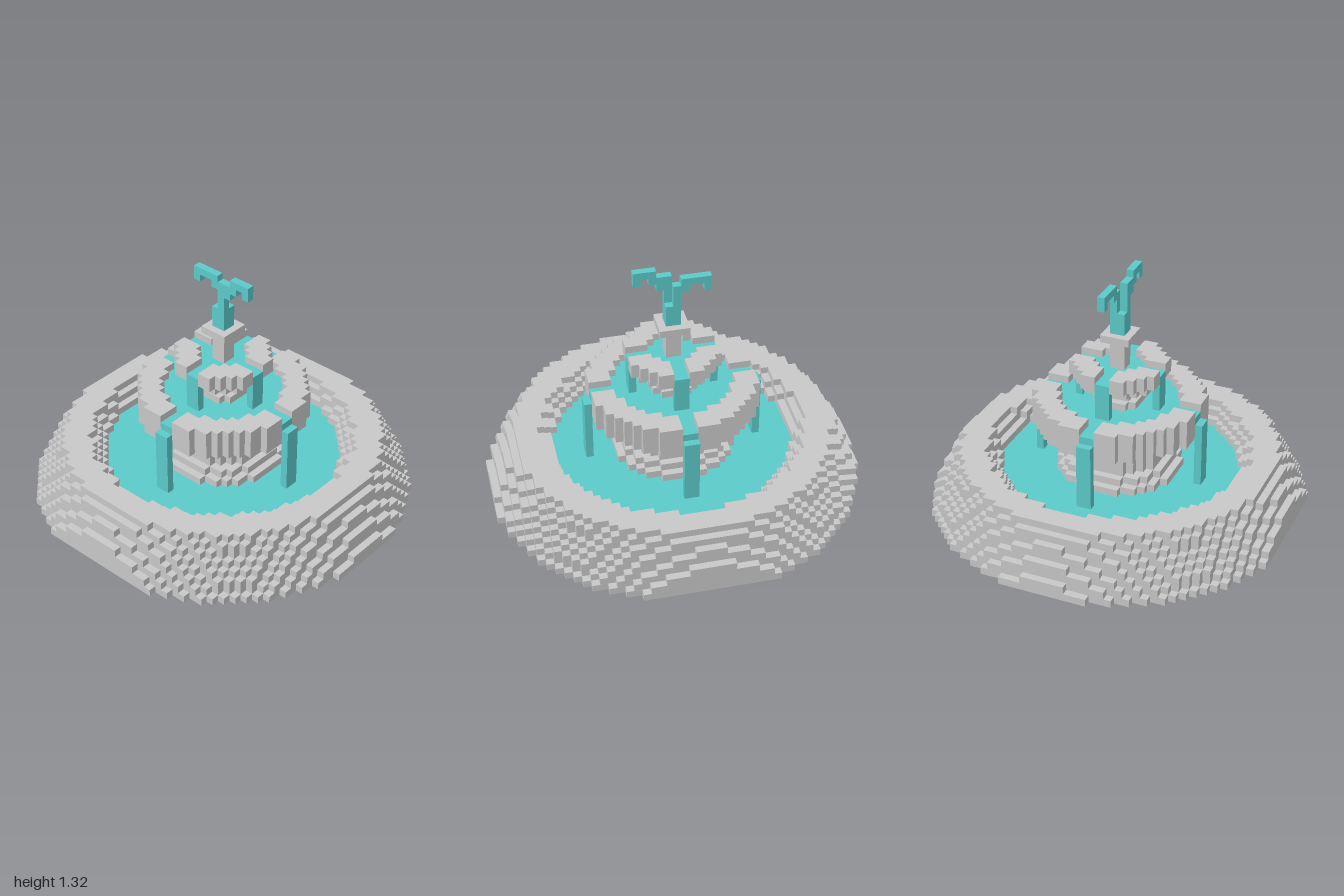
import * as THREE from 'three';

const U = 0.04; // edge length of one block
const N = 25;   // half width of the block grid

export function createModel() {
  const stone = new THREE.MeshStandardMaterial({ color: 0xc8c8c8 });
  stone.name = 'stone';
  const water = new THREE.MeshStandardMaterial({ color: 0x5ccaca });
  water.name = 'water';

  const cells = new Map(); // "i,j,k" -> part name
  const key = (i, j, k) => `${i},${j},${k}`;

  // Fill layers j0..j1 wherever test(x, z) holds at block centres; a null part carves.
  function fill(part, j0, j1, test) {
    for (let j = j0; j <= j1; j++)
      for (let i = -N; i < N; i++)
        for (let k = -N; k < N; k++)
          if (test(i + 0.5, k + 0.5)) {
            if (part) cells.set(key(i, j, k), part);
            else cells.delete(key(i, j, k));
          }
  }
  const disc = (r) => (x, z) => x * x + z * z < r * r;
  const square = (h) => (x, z) => Math.abs(x) < h && Math.abs(z) < h;
  const box = (part, i0, i1, j0, j1, k) =>
    fill(part, j0, j1, (x, z) => x > i0 && x < i1 && z > k && z < k + 1);
  // Four arms, two blocks wide, between distances a and b along the axes
  const arms = (a, b) => (x, z) => {
    const u = Math.max(Math.abs(x), Math.abs(z)), v = Math.min(Math.abs(x), Math.abs(z));
    return v < 1 && u > a && u < b;
  };

  // Sloping outer wall, slightly cropped at front and back
  for (let j = 0; j < 8; j++) {
    const r = Math.sqrt(636 - 25 * j);
    fill('poolWall', j, j, (x, z) => disc(r)(x, z) && Math.abs(z) < 24);
  }
  // Pool hollow with stepped inner wall
  [264, 288, 313].forEach((r2, n) => fill(null, 5 + n, 5 + n, disc(Math.sqrt(r2))));
  fill('poolWater', 4, 4, disc(Math.sqrt(264)));

  // Waisted pedestal
  [8.2, 7.2, 6.2, 6.2, 6.2, 7.2, 8.2].forEach((r, n) => fill('pedestal', 5 + n, 5 + n, disc(r)));

  // Middle basin with four spouts
  fill('middleBasin', 12, 15, disc(11.2));
  fill(null, 15, 15, disc(8.2));
  fill(null, 15, 15, arms(0, 12));
  fill('middleWater', 14, 14, disc(8.2));
  fill('middleWater', 14, 14, arms(8, 11));
  fill('lowerFalls', 5, 13, arms(11, 12));

  // Upper basin on its small stem
  [3.2, 2.2, 3.2, 5.2].forEach((r, n) => fill('upperStem', 15 + n, 15 + n, disc(r)));
  fill('upperBasin', 19, 20, disc(6.2));
  fill(null, 20, 20, disc(3.2));
  fill(null, 20, 20, arms(0, 6));
  fill('upperWater', 19, 19, disc(3.2));
  fill('upperWater', 19, 19, arms(3, 6));
  fill('upperFalls', 15, 18, arms(5, 6));

  // Pillar and cap
  fill('pillar', 20, 23, square(1));
  fill('pillarCap', 24, 24, square(2));

  // Water jet splitting into two curling arms
  fill('jet', 25, 27, square(1));
  box('jet', -1, 0, 28, 30, -1);
  box('jet', -2, 0, 30, 30, -1);
  box('jet', -5, -1, 31, 31, -1);
  box('jet', -5, -4, 30, 30, -1);
  box('jet', 0, 1, 28, 31, 0);
  box('jet', 0, 2, 30, 30, 0);
  box('jet', 0, 3, 31, 31, 0);
  box('jet', 2, 5, 32, 32, 0);
  box('jet', 4, 5, 31, 31, 0);

  // Emit only the exposed block faces, one mesh per part
  const parts = {};
  for (const [id, part] of cells) {
    const c = id.split(',').map(Number);
    const p = (parts[part] ??= { pos: [], nor: [], idx: [] });
    for (let a = 0; a < 3; a++)
      for (const s of [-1, 1]) {
        const n = [0, 0, 0];
        n[a] = s;
        if (cells.has(key(c[0] + n[0], c[1] + n[1], c[2] + n[2]))) continue;
        const b = (a + 1) % 3, d = (a + 2) % 3, base = p.pos.length / 3;
        for (const [u, v] of [[0, 0], [1, 0], [1, 1], [0, 1]]) {
          const q = [...c];
          if (s > 0) q[a] += 1;
          q[b] += u;
          q[d] += v;
          p.pos.push(q[0] * U, q[1] * U, q[2] * U);
          p.nor.push(...n);
        }
        const order = s > 0 ? [0, 1, 2, 0, 2, 3] : [0, 2, 1, 0, 3, 2];
        p.idx.push(...order.map((o) => base + o));
      }
  }

  const group = new THREE.Group();
  group.name = 'fountain';
  for (const [name, p] of Object.entries(parts)) {
    const g = new THREE.BufferGeometry();
    g.setAttribute('position', new THREE.Float32BufferAttribute(p.pos, 3));
    g.setAttribute('normal', new THREE.Float32BufferAttribute(p.nor, 3));
    g.setIndex(p.idx);
    const mesh = new THREE.Mesh(g, /Water|Falls|jet/.test(name) ? water : stone);
    mesh.name = name;
    group.add(mesh);
  }
  return group;
}
